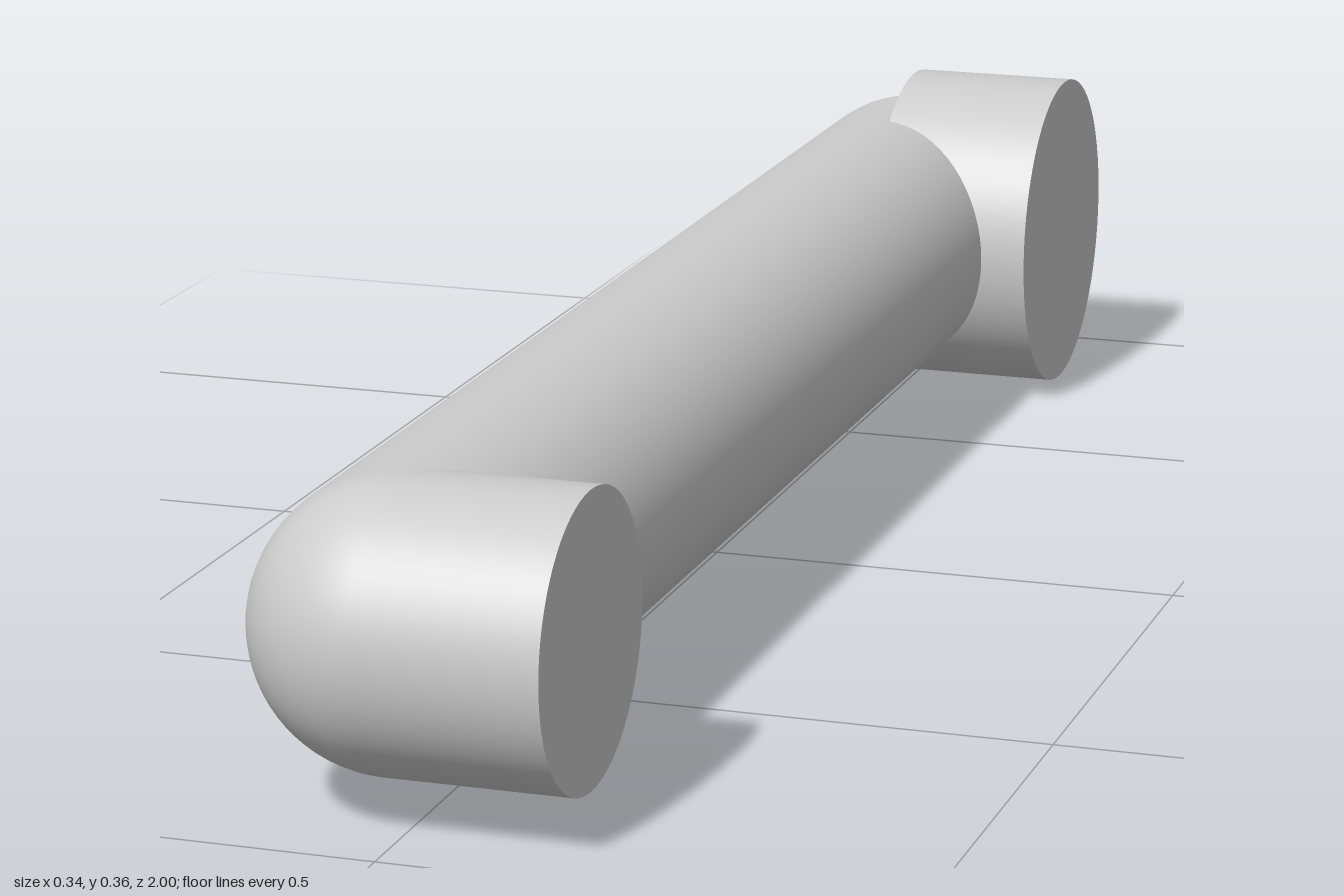
import * as THREE from 'three';

const AXIS_X = -0.026, AXIS_Y = 0.181, BAR_R = 0.143;
const FRONT_Z = 0.857, REAR_Z = -0.847;

export function createModel() {
  const group = new THREE.Group();
  const material = new THREE.MeshStandardMaterial({ color: 0xcccccc });

  function add(name, geometry, x, z) {
    const mesh = new THREE.Mesh(geometry, material);
    mesh.name = name;
    mesh.position.set(x, AXIS_Y, z);
    group.add(mesh);
  }

  // Round disc with its axis along x, from x0 to x1
  function addMount(name, radius, x0, x1, z) {
    const geometry = new THREE.CylinderGeometry(radius, radius, x1 - x0, 64);
    geometry.rotateZ(-Math.PI / 2);
    add(name, geometry, (x0 + x1) / 2, z);
  }

  // Grip bar with hemispherical ends
  const bar = new THREE.CapsuleGeometry(BAR_R, FRONT_Z - REAR_Z, 16, 64);
  bar.rotateX(Math.PI / 2);
  add('gripBar', bar, AXIS_X, (FRONT_Z + REAR_Z) / 2);

  // Front leg, as thick as the bar, and the wider rear mount
  addMount('frontLeg', BAR_R, AXIS_X, 0.158, FRONT_Z);
  addMount('rearMount', 0.18, -0.016, 0.168, -0.82);

  return group;
}
